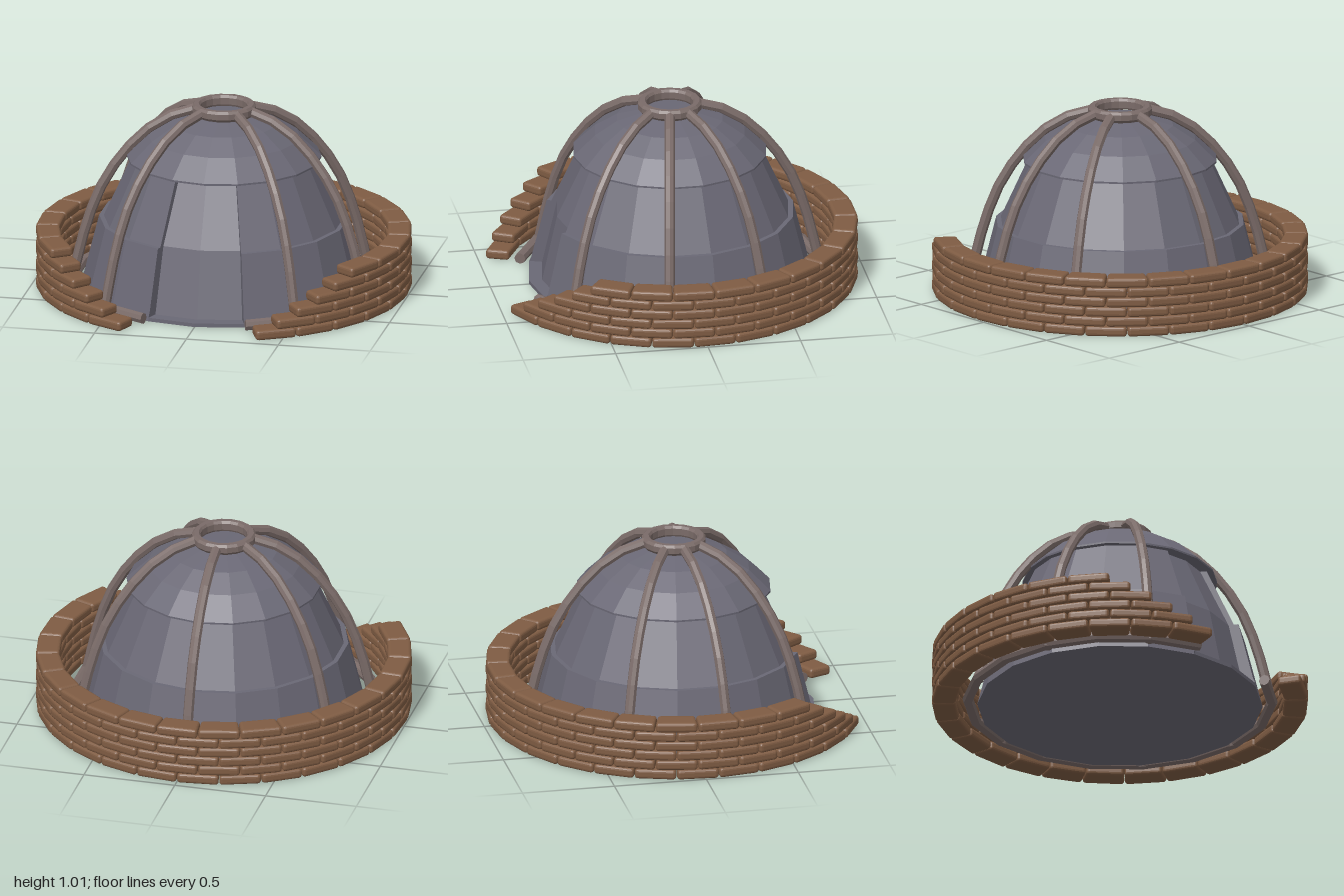
import * as THREE from 'three';
import { RoundedBoxGeometry } from 'three/addons/geometries/RoundedBoxGeometry.js';

const rad = THREE.MathUtils.degToRad;
const mat = (color, extra = {}) =>
  new THREE.MeshStandardMaterial({ color, flatShading: true, ...extra });

const clothMat = mat(0x6a6875, { side: THREE.DoubleSide });
const poleMat = mat(0x7a6b68);
const brickMat = mat(0x7f5c43);

function mesh(name, geometry, material) {
  const m = new THREE.Mesh(geometry, material);
  m.name = name;
  return m;
}

const vec2 = (list) => list.map(([r, y]) => new THREE.Vector2(r, y));

// Turned shell; angles in degrees from the front, one facet every 20 degrees
function shell(name, profile, start, sweep, material = clothMat) {
  const g = new THREE.LatheGeometry(vec2(profile), sweep / 20, rad(start), rad(sweep));
  return mesh(name, g, material);
}

// Faceted pole along a curve, closed at both ends
function pole(name, curve, segments, radius) {
  const group = new THREE.Group();
  group.name = name;
  group.add(mesh('poleShaft', new THREE.TubeGeometry(curve, segments, radius, 8), poleMat));
  for (const end of [0, 1]) {
    const cap = mesh('poleEnd', new THREE.CircleGeometry(radius, 8), poleMat);
    const out = curve.getTangentAt(end).multiplyScalar(end ? 1 : -1);
    cap.position.copy(curve.getPointAt(end));
    cap.quaternion.setFromUnitVectors(new THREE.Vector3(0, 0, 1), out);
    group.add(cap);
  }
  return group;
}

// Horizontal arc in the ground plane
class GroundArc extends THREE.Curve {
  constructor(radius, y, start, end) {
    super();
    Object.assign(this, { radius, y, start, end });
  }
  getPoint(t, target = new THREE.Vector3()) {
    const a = rad(this.start + (this.end - this.start) * t);
    return target.set(this.radius * Math.sin(a), this.y, this.radius * Math.cos(a));
  }
}

// Tent: overlapping cloth tiers with a recessed door at the front
function createTent() {
  const tent = new THREE.Group();
  tent.name = 'tent';
  const wall = [[0.76, 0], [0.665, 0.38], [0.64, 0.38], [0.485, 0.72]];
  const door = [[0.76, 0], [0.76, 0.02], [0.69, 0.02], [0.61, 0.38], [0.45, 0.72]];
  const cap = [[0.44, 0.72], [0.52, 0.715], [0.52, 0.725], [0.405, 0.835],
    [0.285, 0.91], [0.15, 0.948], [0, 0.955]];
  tent.add(
    shell('tentWall', wall, 20, 320),
    shell('doorPanel', door, -20, 40),
    shell('tentRoof', cap, 0, 360),
    shell('tentFloor', [[0, 0], [0.76, 0]], 0, 360),
  );
  // Side walls of the door recess
  const outline = new THREE.Shape(vec2([...wall, ...door.slice(1).reverse()]));
  for (const side of [-1, 1]) {
    const reveal = mesh('doorReveal', new THREE.ShapeGeometry(outline), clothMat);
    reveal.rotation.y = rad(side * 20 - 90);
    tent.add(reveal);
  }
  return tent;
}

// Frame: ribs, ground rail and crown ring
function createFrame() {
  const frame = new THREE.Group();
  frame.name = 'frame';
  const ribCurve = new THREE.CatmullRomCurve3(
    [[0.81, 0.01], [0.735, 0.32], [0.65, 0.55], [0.52, 0.75], [0.375, 0.89], [0.255, 0.955], [0.145, 0.985]]
      .map(([r, y]) => new THREE.Vector3(0, y, r)));
  for (const angle of [40, 80, 120, 180, 240, 280, 320]) {
    const rib = pole('rib', ribCurve, 9, 0.028);
    rib.rotation.y = rad(angle);
    frame.add(rib);
  }
  frame.add(pole('groundRail', new GroundArc(0.81, 0.03, 20, 340), 16, 0.03));
  const ring = [[0.13, 0.955], [0.16, 0.955], [0.172, 0.97], [0.172, 1], [0.16, 1.013],
    [0.135, 1.013], [0.125, 1], [0.125, 0.965], [0.13, 0.955]];
  frame.add(shell('crownRing', ring, 0, 360, mat(0x7a6b68, { side: THREE.DoubleSide })));
  return frame;
}

// Stepped wall: each course is one brick shorter than the one below
function createBrickWall() {
  const wall = new THREE.Group();
  wall.name = 'brickWall';
  const radius = 0.935, pitch = 13.2, courseHeight = 0.0535;
  const brick = new RoundedBoxGeometry(0.212, 0.054, 0.127, 2, 0.017);
  // Taper the brick so that its ends follow the circle
  const p = brick.attributes.position;
  for (let i = 0; i < p.count; i++) {
    const x = p.getX(i), z = p.getZ(i);
    p.setX(i, x * (radius + z) / radius);
    p.setZ(i, z - 0.006 * (x / 0.106) ** 2 + 0.003);
  }
  for (let row = 0; row < 6; row++) {
    const course = new THREE.Group();
    course.name = 'brickCourse';
    const count = 24 - row;
    for (let i = 0; i < count; i++) {
      const a = rad(180 + (i - (count - 1) / 2) * pitch);
      const b = mesh('brick', brick, brickMat);
      b.position.set(radius * Math.sin(a), (row + 0.5) * courseHeight, radius * Math.cos(a));
      b.rotation.y = a;
      course.add(b);
    }
    wall.add(course);
  }
  return wall;
}

export function createModel() {
  const model = new THREE.Group();
  model.name = 'domeTent';
  model.add(createTent(), createFrame(), createBrickWall());
  // All parts share one vertical axis slightly in front of the origin
  for (const part of model.children) part.position.z = 0.03;
  return model;
}
